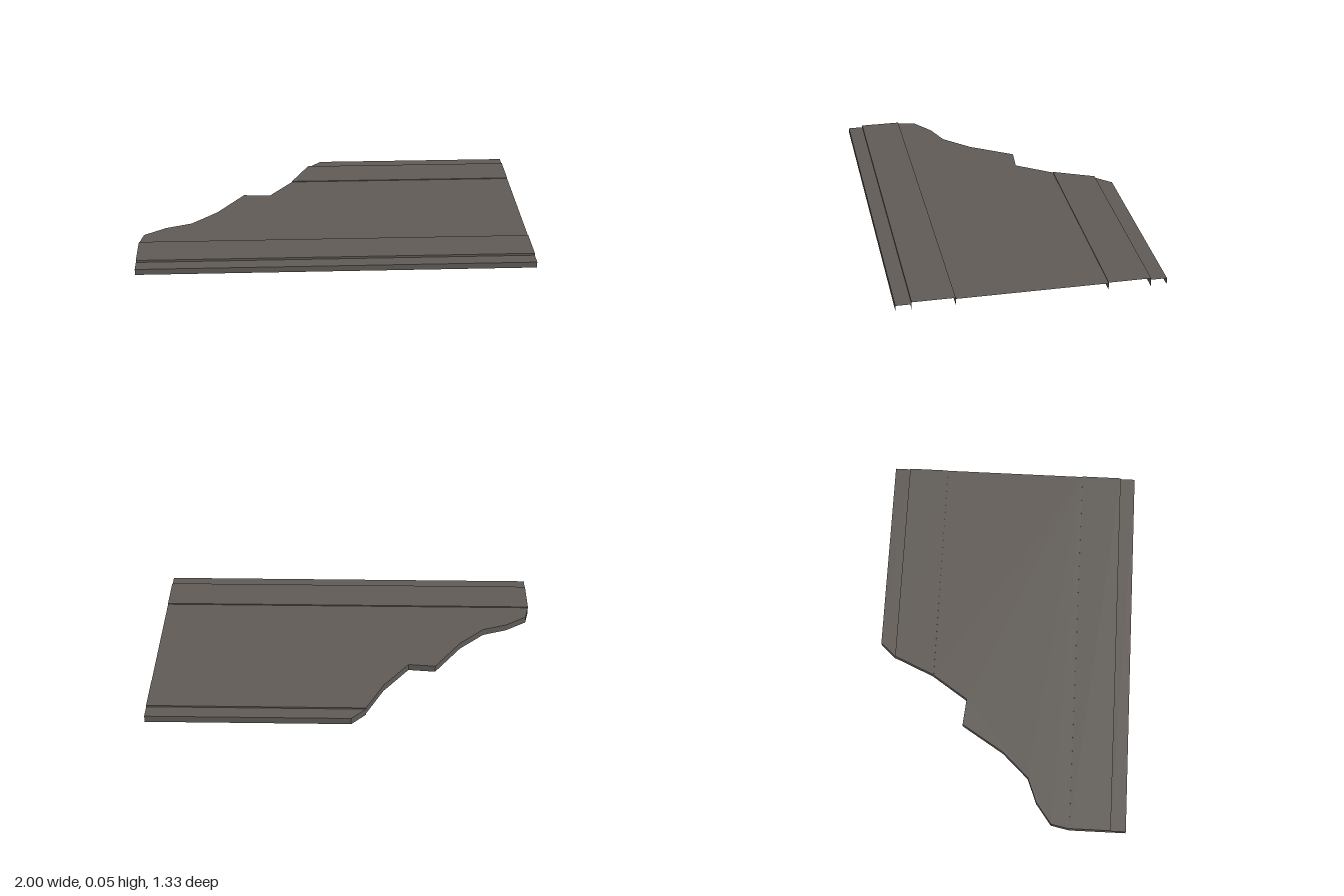
import * as THREE from 'three';

const metal = new THREE.MeshStandardMaterial({ color: 0x5f5a55, side: THREE.DoubleSide });
metal.name = 'darkMetal';

// Left (jagged) outline of each strip, front to back, as [x, z]; every strip ends at x = 1
const strips = [
  { name: 'frontFlange', top: 0.042, bottom: 0.012, edge: [[-1, 0.66], [-1, 0.582]] },
  { name: 'frontPanel', top: 0.053, bottom: 0.012, edge: [[-1, 0.582], [-1, 0.37]] },
  {
    name: 'middlePanel', top: 0.047, bottom: 0.012,
    edge: [[-1, 0.37], [-0.98, 0.275], [-0.87, 0.195], [-0.74, 0.145], [-0.61, 0.01],
      [-0.47, -0.21], [-0.33, -0.197], [-0.205, -0.38]],
  },
  { name: 'backPanel', top: 0.051, bottom: 0.016, edge: [[-0.205, -0.38], [-0.11, -0.592]] },
  { name: 'backFlange', top: 0.043, bottom: 0.008, edge: [[-0.11, -0.592], [-0.037, -0.672]] },
];

// Thin flat plate at height y
function plate(edge, y) {
  const points = [...edge, [1, edge.at(-1)[1]], [1, edge[0][1]]];
  const shape = new THREE.Shape(points.map(([x, z]) => new THREE.Vector2(x, -z)));
  return new THREE.ShapeGeometry(shape).rotateX(-Math.PI / 2).translate(0, y, 0);
}

// Upright sheet between two ground points
function wall([x0, z0], [x1, z1], bottom, top) {
  return new THREE.PlaneGeometry(Math.hypot(x1 - x0, z1 - z0), top - bottom)
    .rotateY(-Math.atan2(z1 - z0, x1 - x0))
    .translate((x0 + x1) / 2, (bottom + top) / 2, (z0 + z1) / 2);
}

export function createModel() {
  const model = new THREE.Group();
  model.name = 'brokenDeckPanel';
  const add = (name, geometry) => {
    const mesh = new THREE.Mesh(geometry, metal);
    mesh.name = name;
    model.add(mesh);
  };

  // Deck strips with a skirt hanging along the jagged side
  for (const { name, top, bottom, edge } of strips) {
    add(name, plate(edge, top));
    for (let i = 0; i + 1 < edge.length; i++) {
      add(name + 'Skirt', wall(edge[i], edge[i + 1], bottom, top));
    }
  }

  // Lengthwise ribs at both outer edges and at every step between strips
  for (let i = 0; i <= strips.length; i++) {
    const before = strips[i - 1], after = strips[i];
    const [x, z] = after ? after.edge[0] : before.edge.at(-1);
    const top = Math.max(before?.top ?? 0, after?.top ?? 0);
    const bottom = Math.min(before?.bottom ?? 1, after?.bottom ?? 1);
    add('rib', wall([x, z], [1, z], bottom, top));
  }
  return model;
}
